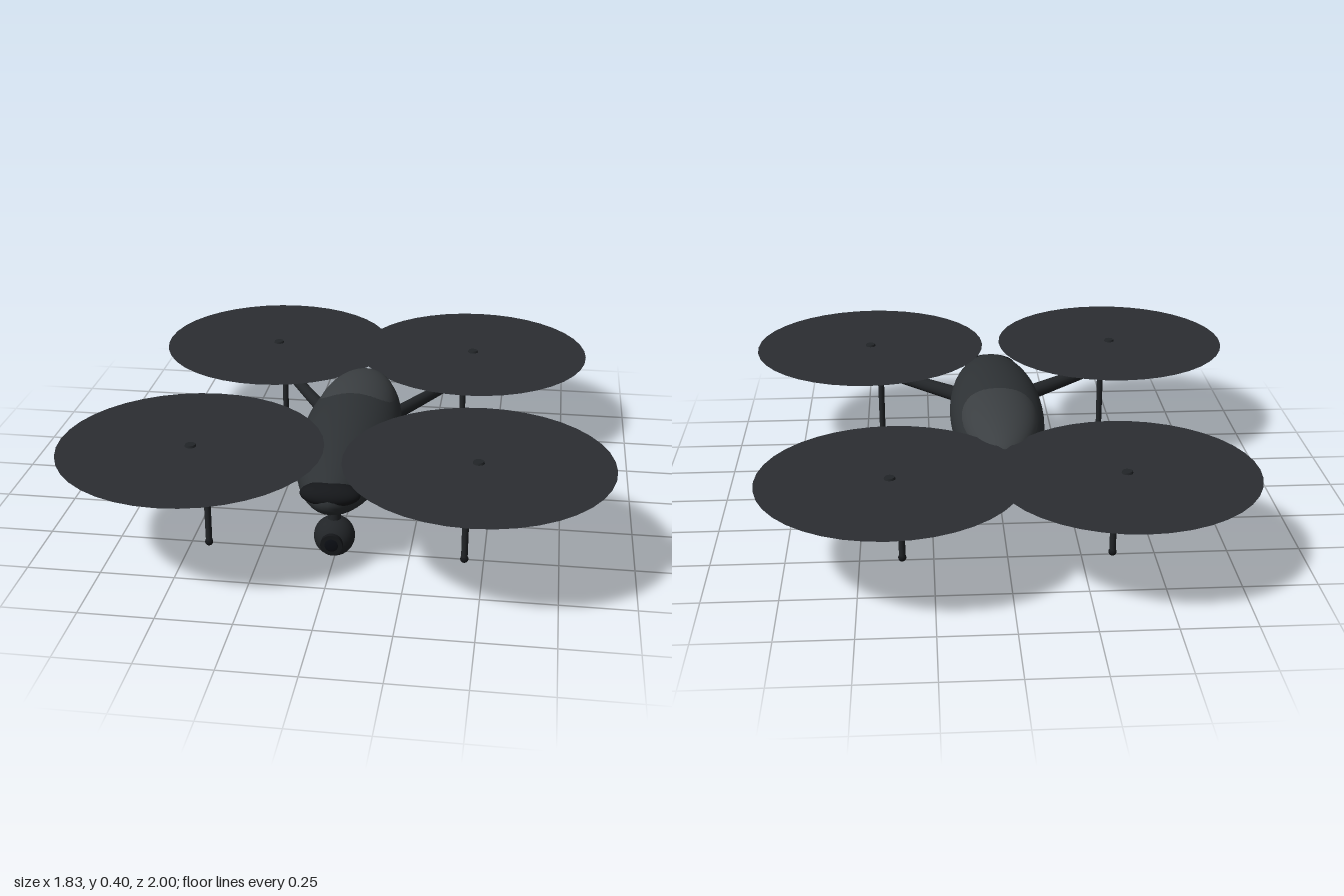
import * as THREE from 'three';

const paint = (color) => new THREE.MeshStandardMaterial({ color });
const shell = paint(0x2e3235), canopyGrey = paint(0x3b3f42), black = paint(0x15171a);
const dark = paint(0x222528), silver = paint(0x9a9da0), glass = paint(0x0b0e14);
const blur = paint(0x2b2e32);
blur.side = THREE.DoubleSide;

function add(parent, name, geometry, material, x = 0, y = 0, z = 0) {
  const mesh = new THREE.Mesh(geometry, material);
  mesh.name = name;
  mesh.position.set(x, y, z);
  parent.add(mesh);
  return mesh;
}

const ellipsoid = (rx, ry, rz) => new THREE.SphereGeometry(1, 48, 32).scale(rx, ry, rz);

// Tapered rod between two points
function rod(parent, name, from, to, r0, r1, material) {
  const a = new THREE.Vector3(...from), b = new THREE.Vector3(...to);
  const dir = b.clone().sub(a);
  const mesh = add(parent, name, new THREE.CylinderGeometry(r1, r0, dir.length(), 16), material);
  mesh.position.copy(a).addScaledVector(dir, 0.5);
  mesh.quaternion.setFromUnitVectors(new THREE.Vector3(0, 1, 0), dir.normalize());
}

// Motor, hub, blades and spinning disc; y = 0 is the motor's underside
function makeRotor() {
  const rotor = new THREE.Group();
  rotor.name = 'rotor';
  add(rotor, 'motorBase', new THREE.CylinderGeometry(0.05, 0.05, 0.05, 24), dark, 0, 0.025);
  add(rotor, 'motorBell', new THREE.CylinderGeometry(0.049, 0.049, 0.044, 24), silver, 0, 0.071);
  add(rotor, 'shaft', new THREE.CylinderGeometry(0.012, 0.012, 0.02, 12), dark, 0, 0.1);
  add(rotor, 'hub', new THREE.CylinderGeometry(0.017, 0.024, 0.02, 12), dark, 0, 0.11);
  add(rotor, 'spinDisc', new THREE.CircleGeometry(0.44, 40).rotateX(-Math.PI / 2), blur, 0, 0.113);
  for (const side of [-1, 1]) {
    const blade = new THREE.Shape();
    blade.moveTo(0, -0.014);
    blade.quadraticCurveTo(0.12, -0.05, 0.43, -0.022);
    blade.lineTo(0.43, 0.018);
    blade.quadraticCurveTo(0.15, 0.035, 0, 0.014);
    const geometry = new THREE.ExtrudeGeometry(blade, { depth: 0.004, bevelEnabled: false });
    const mesh = add(rotor, 'blade', geometry.rotateX(-Math.PI / 2), black, 0, 0.107);
    if (side < 0) mesh.rotation.y = Math.PI;
  }
  return rotor;
}

export function createModel() {
  const model = new THREE.Group();
  model.name = 'quadcopter';

  // Fuselage
  add(model, 'body', ellipsoid(0.173, 0.137, 0.533), shell, 0, 0.26, 0.142);
  add(model, 'canopy', ellipsoid(0.145, 0.095, 0.36), canopyGrey, 0, 0.301, 0.02);
  add(model, 'noseVisor', ellipsoid(0.1, 0.039, 0.05), black, 0, 0.279, 0.622);

  // Camera under the nose
  const camera = new THREE.Group();
  camera.name = 'gimbalCamera';
  camera.position.set(0, 0.08, 0.535);
  add(camera, 'cameraNeck', new THREE.CylinderGeometry(0.022, 0.022, 0.06, 16), dark, 0, 0.08);
  add(camera, 'cameraBall', new THREE.SphereGeometry(0.069, 32, 20), dark);
  const tube = (r, depth) => new THREE.CylinderGeometry(r, r, depth, 28).rotateX(Math.PI / 2);
  add(camera, 'lensBarrel', tube(0.037, 0.05), black, 0, 0, 0.049);
  add(camera, 'lensGlass', new THREE.SphereGeometry(0.024, 20, 12).scale(1, 1, 0.2), glass, 0, 0, 0.0725);
  model.add(camera);

  // Arms, rotors and legs, mirrored left and right
  const corners = [
    { name: 'front', root: [0.1, 0.253, 0.33], tip: [0.45, 0.295, 0.54], r0: 0.03, r1: 0.02,
      motor: [0.473, 0.278, 0.56], leg: [0.436, 0.52] },
    { name: 'rear', root: [0.1, 0.262, -0.02], tip: [0.375, 0.245, -0.54], r0: 0.025, r1: 0.018,
      motor: [0.388, 0.218, -0.56], leg: [0.356, -0.508] },
  ];
  for (const c of corners) {
    for (const s of [1, -1]) {
      const flip = ([x, y, z]) => [s * x, y, z];
      rod(model, c.name + 'Arm', flip(c.root), flip(c.tip), c.r0, c.r1, dark);
      const rotor = makeRotor();
      rotor.name = c.name + 'Rotor';
      rotor.position.set(...flip(c.motor));
      model.add(rotor);
      const [x, z] = c.leg, top = c.tip[1];
      rod(model, c.name + 'Leg', [s * x, 0.014, z], [s * x, top, z], 0.011, 0.012, dark);
      add(model, c.name + 'Foot', new THREE.SphereGeometry(0.014, 16, 10), black, s * x, 0.014, z);
    }
  }
  return model;
}
